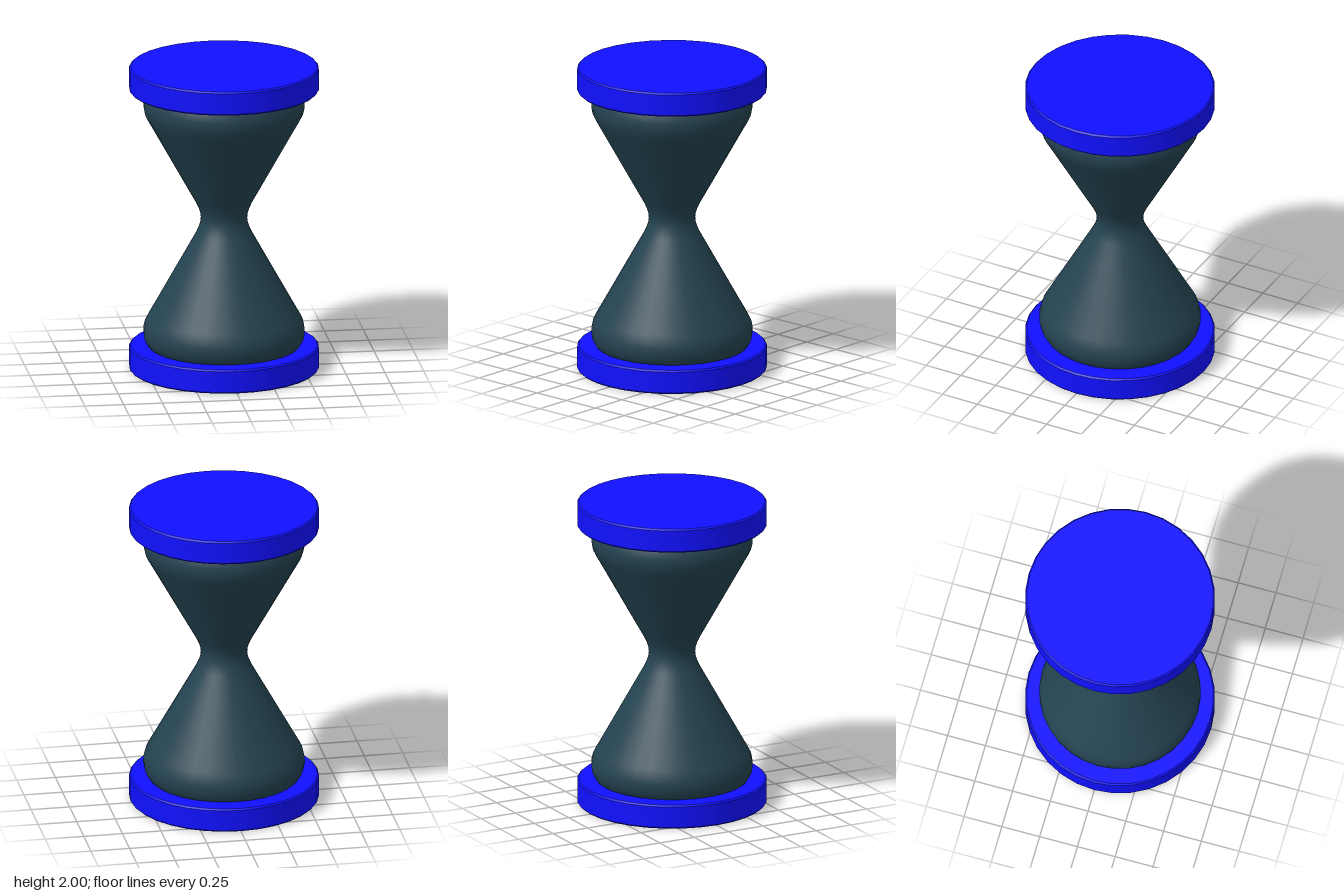
import * as THREE from 'three';
import { toCreasedNormals } from 'three/addons/utils/BufferGeometryUtils.js';

const SEGMENTS = 32;
const CAP_RADIUS = 0.605, CAP_HEIGHT = 0.157, BEVEL = 0.01;

const points = (pairs) => pairs.map(([r, y]) => new THREE.Vector2(r, y));

// Flat disc with a narrow bevel on both rims, standing on its own y = 0
function capGeometry() {
  const profile = points([
    [0, 0], [CAP_RADIUS - BEVEL, 0], [CAP_RADIUS, BEVEL],
    [CAP_RADIUS, CAP_HEIGHT - BEVEL], [CAP_RADIUS - BEVEL, CAP_HEIGHT], [0, CAP_HEIGHT],
  ]);
  return toCreasedNormals(new THREE.LatheGeometry(profile, SEGMENTS), 0.6);
}

// Lower half of the bulb, from the base centre to the neck; mirrored about y = 1
function glassGeometry() {
  const lower = points([
    [0, 0.12], [0.43, 0.12], [0.465, 0.14], [0.488, 0.162], [0.507, 0.195], [0.515, 0.235],
    [0.514, 0.27], [0.505, 0.31], [0.485, 0.35], [0.462, 0.39],
    [0.388, 0.523], [0.314, 0.656], [0.24, 0.789],
    [0.178, 0.9], [0.162, 0.935], [0.151, 0.97],
  ]);
  const upper = lower.map((p) => new THREE.Vector2(p.x, 2 - p.y)).reverse();
  const profile = [...lower, new THREE.Vector2(0.148, 1), ...upper];
  return new THREE.LatheGeometry(profile, SEGMENTS);
}

export function createModel() {
  const model = new THREE.Group();
  model.name = 'hourglass';
  const blue = new THREE.MeshStandardMaterial({ color: 0x1010ff });
  const darkGlass = new THREE.MeshStandardMaterial({ color: 0x234250 });

  const add = (name, geometry, material, y = 0) => {
    const mesh = new THREE.Mesh(geometry, material);
    mesh.name = name;
    mesh.position.y = y;
    model.add(mesh);
  };

  const cap = capGeometry();
  add('bottomCap', cap, blue);
  add('topCap', cap, blue, 2 - CAP_HEIGHT);
  add('glassBulb', glassGeometry(), darkGlass);
  return model;
}
